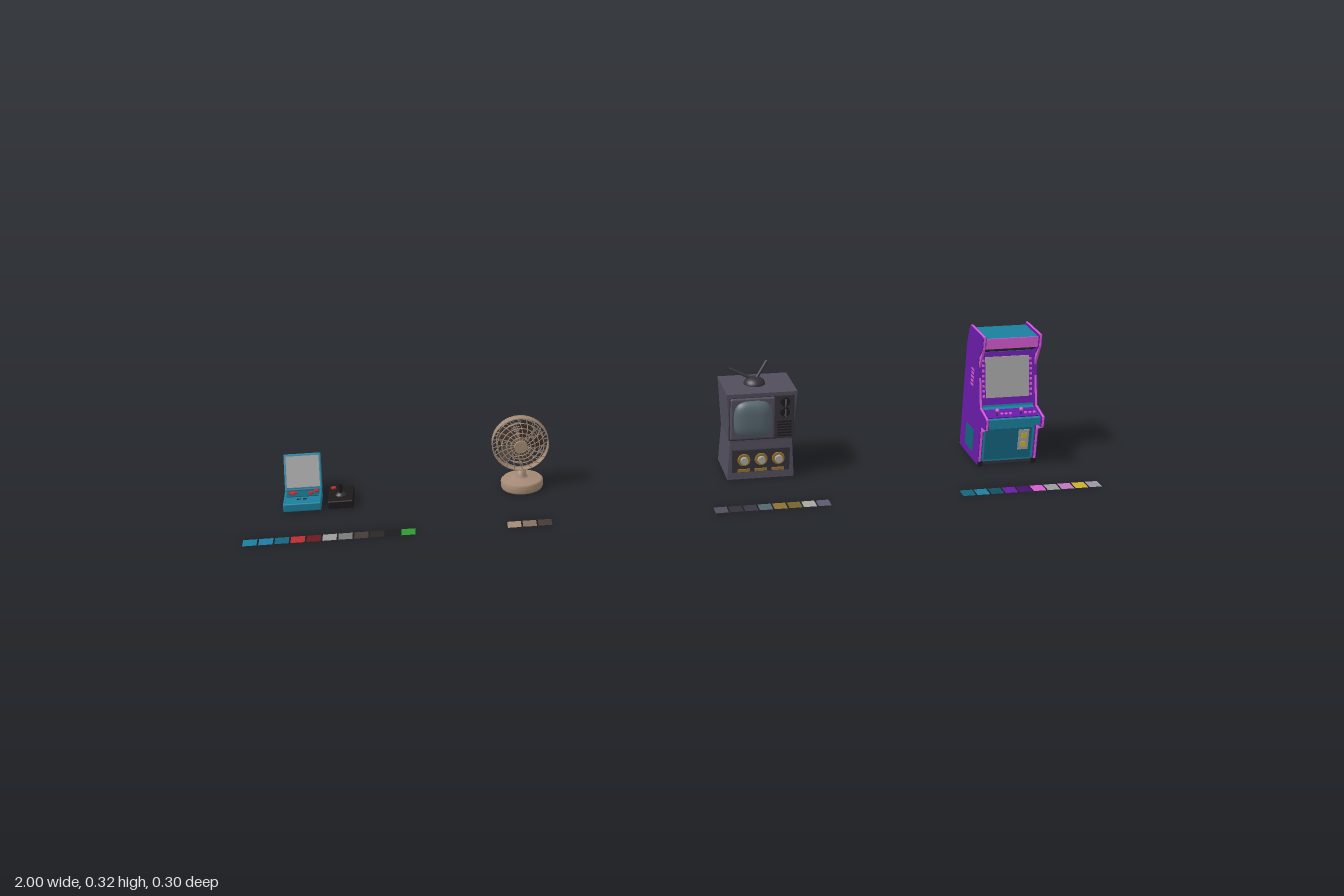
import * as THREE from 'three';
import { RoundedBoxGeometry } from 'three/addons/geometries/RoundedBoxGeometry.js';

const TEAL = 0x1a7f9c, DEEP = 0x14647c, PURPLE = 0x691ba8, PINK = 0xd65ad1, BLACK = 0x1d1a1c, DARK = 0x343039;
const GREY = 0x9c9c9c, RED = 0xc02a2e, GOLD = 0x8f7130, TAN = 0xa58b76, BROWN = 0x6b574a, CASE = 0x514d5c;
const mats = {};
const mat = (color, open) => (mats[color + (open ? 'd' : '')] ??=
  new THREE.MeshStandardMaterial({ color, side: open ? THREE.DoubleSide : THREE.FrontSide }));

function add(parent, name, geo, color, pos = [0, 0, 0], rot = [0, 0, 0], open = false) {
  const m = new THREE.Mesh(geo, mat(color, open));
  m.name = name;
  m.position.set(...pos);
  m.rotation.set(...rot);
  parent.add(m);
  return m;
}
function group(parent, name, x = 0, y = 0, z = 0) {
  const g = new THREE.Group();
  g.name = name;
  g.position.set(x, y, z);
  parent.add(g);
  return g;
}
const box = (w, h, d) => new THREE.BoxGeometry(w, h, d);
const cyl = (r1, r2, h, n = 20) => new THREE.CylinderGeometry(r1, r2, h, n);
const facing = [Math.PI / 2, 0, 0];

// Extrude a [z, y] outline across x, centred on x = 0
function sideExtrude(points, width) {
  const shape = new THREE.Shape(points.map(p => new THREE.Vector2(...p)));
  const g = new THREE.ExtrudeGeometry(shape, { depth: width, bevelEnabled: false });
  return g.translate(0, 0, -width / 2).rotateY(-Math.PI / 2);
}
// Slab lying along a line between two [z, y] points
function slab(parent, name, a, b, width, thick, color, x = 0) {
  const dz = b[0] - a[0], dy = b[1] - a[1];
  return add(parent, name, box(width, thick, Math.hypot(dz, dy)), color,
    [x, (a[1] + b[1]) / 2, (a[0] + b[0]) / 2], [-Math.atan2(dy, dz), 0, 0]);
}
// Round bar between two points
function bar(parent, name, a, b, r, color) {
  const curve = new THREE.LineCurve3(new THREE.Vector3(...a), new THREE.Vector3(...b));
  return add(parent, name, new THREE.TubeGeometry(curve, 1, r, 8), color, [0, 0, 0], [0, 0, 0], true);
}

function arcade(root) {
  const g = group(root, 'arcadeCabinet', 0.815);
  const side = [[-0.149, 0.002], [-0.149, 0.271], [-0.144, 0.295], [-0.137, 0.318], [-0.132, 0.323], [-0.043, 0.323], [-0.04, 0.32],
    [-0.04, 0.293], [-0.06, 0.267], [-0.06, 0.245], [-0.031, 0.145], [0.017, 0.136], [0.021, 0.133], [0.021, 0.109], [-0.012, 0.105], [-0.012, 0.002]];
  const trim = [[-0.151, 0.003], [-0.151, 0.271], [-0.136, 0.324], [-0.04, 0.324], [-0.039, 0.293], [-0.059, 0.24],
    [-0.03, 0.146], [0.022, 0.135], [0.022, 0.108], [-0.011, 0.09], [-0.011, 0.003]];
  for (const s of [-1, 1]) {
    add(g, 'sidePanel', sideExtrude(side, 0.009), PURPLE, [s * 0.07, 0, 0]);
    add(g, 'edgeTrim', sideExtrude(trim, 0.005), PINK, [s * 0.07, 0, 0]);
    for (let i = 0; i < 5; i++) add(g, 'sideVent', box(0.002, 0.005, 0.018), PINK, [s * 0.0745, 0.186 + i * 0.0095, -0.092]);
    for (const z of [-0.145, -0.017]) add(g, 'foot', box(0.012, 0.012, 0.014), BLACK, [s * 0.068, 0.006, z]);
  }
  add(g, 'sideHatch', box(0.002, 0.055, 0.055), DEEP, [-0.075, 0.05, -0.08]);
  add(g, 'body', sideExtrude([[-0.146, 0.01], [-0.146, 0.27], [-0.132, 0.318], [-0.046, 0.318], [-0.046, 0.294],
    [-0.08, 0.275], [-0.065, 0.235], [-0.04, 0.143], [0.015, 0.131], [0.015, 0.112], [-0.016, 0.1], [-0.016, 0.01]], 0.132), TEAL);
  add(g, 'marquee', box(0.132, 0.026, 0.004), PINK, [0, 0.305, -0.045]);
  slab(g, 'speakerPanel', [-0.046, 0.292], [-0.076, 0.275], 0.132, 0.003, DARK);
  slab(g, 'screenBezel', [-0.077, 0.272], [-0.042, 0.148], 0.132, 0.004, PURPLE);
  slab(g, 'screen', [-0.07, 0.262], [-0.044, 0.166], 0.108, 0.01, GREY);
  for (const s of [-1, 1]) for (let i = 0; i < 8; i++)
    add(g, 'bezelLight', box(0.005, 0.006, 0.004), PINK, [s * 0.06, 0.17 + i * 0.012, -0.045 - i * 0.0033], [-0.27, 0, 0]);
  // Control deck
  slab(g, 'deckStrip', [-0.026, 0.141], [0.008, 0.1335], 0.126, 0.003, PURPLE);
  for (const x of [-0.04, 0.02]) {
    bar(g, 'stick', [x, 0.136, 0], [x, 0.149, 0.002], 0.0016, DARK);
    add(g, 'stickBall', new THREE.SphereGeometry(0.005, 14, 10), PINK, [x, 0.151, 0.002]);
    for (let i = 0; i < 3; i++) add(g, 'button', cyl(0.0035, 0.0035, 0.004, 12), PINK, [x + 0.014 + i * 0.011, 0.1385, -0.004], [0.22, 0, 0]);
  }
  // Lower front
  add(g, 'frontPanel', box(0.118, 0.08, 0.003), DEEP, [0, 0.055, -0.0155]);
  add(g, 'coinDoor', box(0.026, 0.052, 0.004), GREY, [0.038, 0.064, -0.0135]);
  for (const y of [0.075, 0.052]) add(g, 'coinSlot', box(0.013, 0.013, 0.003), 0xc9b02f, [0.038, y, -0.011]);
  add(g, 'plinth', box(0.13, 0.01, 0.128), DARK, [0, 0.007, -0.081]);
}

function television(root) {
  const g = group(root, 'television', 0.202);
  // Case pinched at the waist
  const body = box(0.17, 0.22, 0.125, 1, 2, 1);
  const caseGeo = new THREE.BoxGeometry(0.17, 0.22, 0.125, 1, 2, 1);
  const p = caseGeo.attributes.position;
  for (let i = 0; i < p.count; i++) {
    const y = p.getY(i), k = y > 0.05 ? 1 : y < -0.05 ? 0.96 : 0.89;
    p.setXYZ(i, p.getX(i) * k, Math.abs(y) < 0.05 ? -0.015 : y, p.getZ(i) * (k < 0.9 ? 0.95 : 1));
  }
  body.dispose();
  const flat = caseGeo.toNonIndexed();
  flat.computeVertexNormals();
  add(g, 'case', flat, CASE, [0, 0.11, -0.0905]);
  add(g, 'frontFrame', new RoundedBoxGeometry(0.158, 0.112, 0.008, 2, 0.003), DARK, [0, 0.157, -0.031]);
  add(g, 'screenSurround', new RoundedBoxGeometry(0.108, 0.106, 0.012, 3, 0.005), CASE, [-0.023, 0.157, -0.029]);
  // Bulging tube: a sphere squared off
  const tube = new THREE.SphereGeometry(1, 32, 20);
  const t = tube.attributes.position;
  const sq = v => Math.sign(v) * Math.pow(Math.abs(v), 0.62);
  for (let i = 0; i < t.count; i++) t.setXYZ(i, sq(t.getX(i)) * 0.046, sq(t.getY(i)) * 0.047, t.getZ(i) * 0.02);
  tube.computeVertexNormals();
  add(g, 'screen', tube, 0x56666e, [-0.023, 0.157, -0.026]);
  // Tuning column
  for (const y of [0.196, 0.17]) {
    add(g, 'tuningDial', cyl(0.011, 0.012, 0.008, 24), BLACK, [0.055, y, -0.024], facing);
    add(g, 'tuningGrip', box(0.003, 0.018, 0.006), CASE, [0.055, y, -0.018]);
  }
  for (let i = 0; i < 6; i++) add(g, 'speakerSlat', box(0.034, 0.003, 0.004), BLACK, [0.055, 0.145 - i * 0.007, -0.026]);
  // Lower controls
  add(g, 'controlPanel', box(0.14, 0.062, 0.006), DARK, [0, 0.045, -0.0305], [0.04, 0, 0]);
  for (let i = -1; i <= 1; i++) {
    add(g, 'knobRing', cyl(0.015, 0.016, 0.006, 24), GOLD, [i * 0.042, 0.051, -0.026], facing);
    add(g, 'knob', cyl(0.009, 0.01, 0.012, 20), 0xa9a6a0, [i * 0.042, 0.051, -0.022], facing);
    add(g, 'knobPlate', box(0.03, 0.007, 0.003), GOLD, [i * 0.042, 0.023, -0.027]);
  }
  // Antenna
  add(g, 'antennaBase', new THREE.SphereGeometry(0.026, 24, 10, 0, Math.PI * 2, 0, Math.PI / 2).scale(1, 0.7, 1), DARK, [-0.006, 0.219, -0.094]);
  bar(g, 'antennaArm', [-0.01, 0.232, -0.094], [-0.065, 0.254, -0.114], 0.004, DARK);
  bar(g, 'antennaArm', [-0.002, 0.232, -0.094], [0.025, 0.275, -0.1], 0.004, DARK);
}

function fan(root) {
  const g = group(root, 'deskFan', -0.369, 0, -0.072);
  const foot = [[0, 0], [0.048, 0], [0.05, 0.004], [0.05, 0.018], [0.046, 0.022], [0.016, 0.024], [0.011, 0.03], [0.01, 0.046], [0, 0.046]];
  add(g, 'base', new THREE.LatheGeometry(foot.map(q => new THREE.Vector2(...q)), 32), TAN);
  const head = group(g, 'fanHead', 0, 0.112, 0);
  add(head, 'rim', cyl(0.066, 0.066, 0.018, 40).toNonIndexed && new THREE.CylinderGeometry(0.066, 0.066, 0.018, 40, 1, true), TAN, [0, 0, 0], facing, true);
  const bulge = r => 0.009 + 0.016 * (1 - (r / 0.066) ** 2);
  for (const s of [-1, 1]) {
    for (const r of [0.066, 0.055, 0.044, 0.033, 0.023])
      add(head, 'grilleRing', new THREE.TorusGeometry(r, 0.0013, 6, 36), TAN, [0, 0, s * bulge(r)]);
    for (let i = 0; i < 20; i++) {
      const a = i * Math.PI / 10;
      const pts = [0.012, 0.03, 0.05, 0.066].map((r, k) =>
        new THREE.Vector3(r * Math.cos(a + k * 0.13), r * Math.sin(a + k * 0.13), s * bulge(r)));
      add(head, 'grilleWire', new THREE.TubeGeometry(new THREE.CatmullRomCurve3(pts), 6, 0.0011, 5), TAN);
    }
    add(head, 'grilleCap', cyl(0.015, 0.016, 0.004, 24), TAN, [0, 0, s * 0.025], facing);
  }
  // Blades
  add(head, 'hub', cyl(0.014, 0.014, 0.02, 20), BROWN, [0, 0, 0], facing);
  const blade = new THREE.Shape();
  blade.moveTo(0.01, -0.006);
  blade.quadraticCurveTo(0.035, -0.024, 0.056, -0.012);
  blade.quadraticCurveTo(0.062, 0.008, 0.05, 0.018);
  blade.quadraticCurveTo(0.03, 0.012, 0.01, 0.006);
  for (let i = 0; i < 5; i++) {
    const pivot = group(head, 'bladePivot');
    pivot.rotation.z = i * Math.PI * 0.4;
    add(pivot, 'blade', new THREE.ShapeGeometry(blade, 8), 0x463a34, [0, 0, 0], [0.4, 0, 0], true);
  }
}

function console_(root) {
  const g = group(root, 'foldingConsole', -0.878);
  add(g, 'base', new RoundedBoxGeometry(0.086, 0.02, 0.078, 2, 0.003), TEAL, [0, 0.01, -0.051]);
  add(g, 'hinge', cyl(0.005, 0.005, 0.078, 14), DEEP, [0, 0.02, -0.088], [0, 0, Math.PI / 2]);
  // Tilted lid with its screen
  const lid = group(g, 'lid', 0, 0.018, -0.088);
  lid.rotation.x = -0.52;
  add(lid, 'lidShell', new RoundedBoxGeometry(0.086, 0.088, 0.008, 2, 0.003), TEAL, [0, 0.044, -0.004]);
  add(lid, 'screen', box(0.076, 0.074, 0.002), GREY, [0, 0.045, 0.0005]);
  // Controls
  add(g, 'padPlate', box(0.074, 0.002, 0.03), DEEP, [0, 0.0205, -0.065]);
  for (const w of [[0.02, 0.007], [0.007, 0.02]]) add(g, 'directionPad', box(w[0], 0.004, w[1]), RED, [-0.023, 0.022, -0.067]);
  for (const q of [[0.018, -0.062], [0.03, -0.072]]) add(g, 'button', cyl(0.006, 0.006, 0.005, 16), RED, [q[0], 0.022, q[1]]);
  for (const x of [-0.008, 0.006]) add(g, 'smallButton', box(0.009, 0.003, 0.003), DARK, [x, 0.0205, -0.036]);

  const j = group(root, 'joystick', -0.791, 0, -0.057);
  add(j, 'joystickBase', new RoundedBoxGeometry(0.058, 0.019, 0.086, 2, 0.003), BLACK, [0, 0.0095, 0]);
  add(j, 'boot', cyl(0.007, 0.014, 0.007, 20), DARK, [0, 0.021, 0.006]);
  add(j, 'stick', cyl(0.005, 0.004, 0.026, 14), BLACK, [0, 0.033, 0.006]);
  add(j, 'fireButton', cyl(0.006, 0.006, 0.004, 16), RED, [-0.018, 0.02, -0.03]);
}

// Rows of flat colour tiles
function swatches(root, x0, colors) {
  const g = group(root, 'colorTiles');
  colors.forEach((c, i) => add(g, 'tile', new THREE.PlaneGeometry(0.031, 0.031), c,
    [x0 + 0.016 + i * 0.0347, 0.0005, 0.132], [-Math.PI / 2, 0, 0], true));
}

export function createModel() {
  const root = new THREE.Group();
  root.name = 'retroSet';
  arcade(root);
  television(root);
  fan(root);
  console_(root);
  swatches(root, -1, [TEAL, 0x1c7ca8, DEEP, RED, 0x6b1a20, GREY, 0x7a7a78, 0x453b38, 0x2c2725, BLACK, 0x2f9a2f]);
  swatches(root, -0.416, [TAN, 0x86705f, 0x463a34]);
  swatches(root, 0.06, [CASE, DARK, 0x3a3644, 0x56666e, GOLD, 0x76602c, 0xa9a6a0, 0x5d5a70]);
  swatches(root, 0.652, [DEEP, TEAL, 0x125061, PURPLE, 0x47126f, PINK, GREY, 0xc078bd, 0xc9b02f, 0x9a94a6]);
  return root;
}
